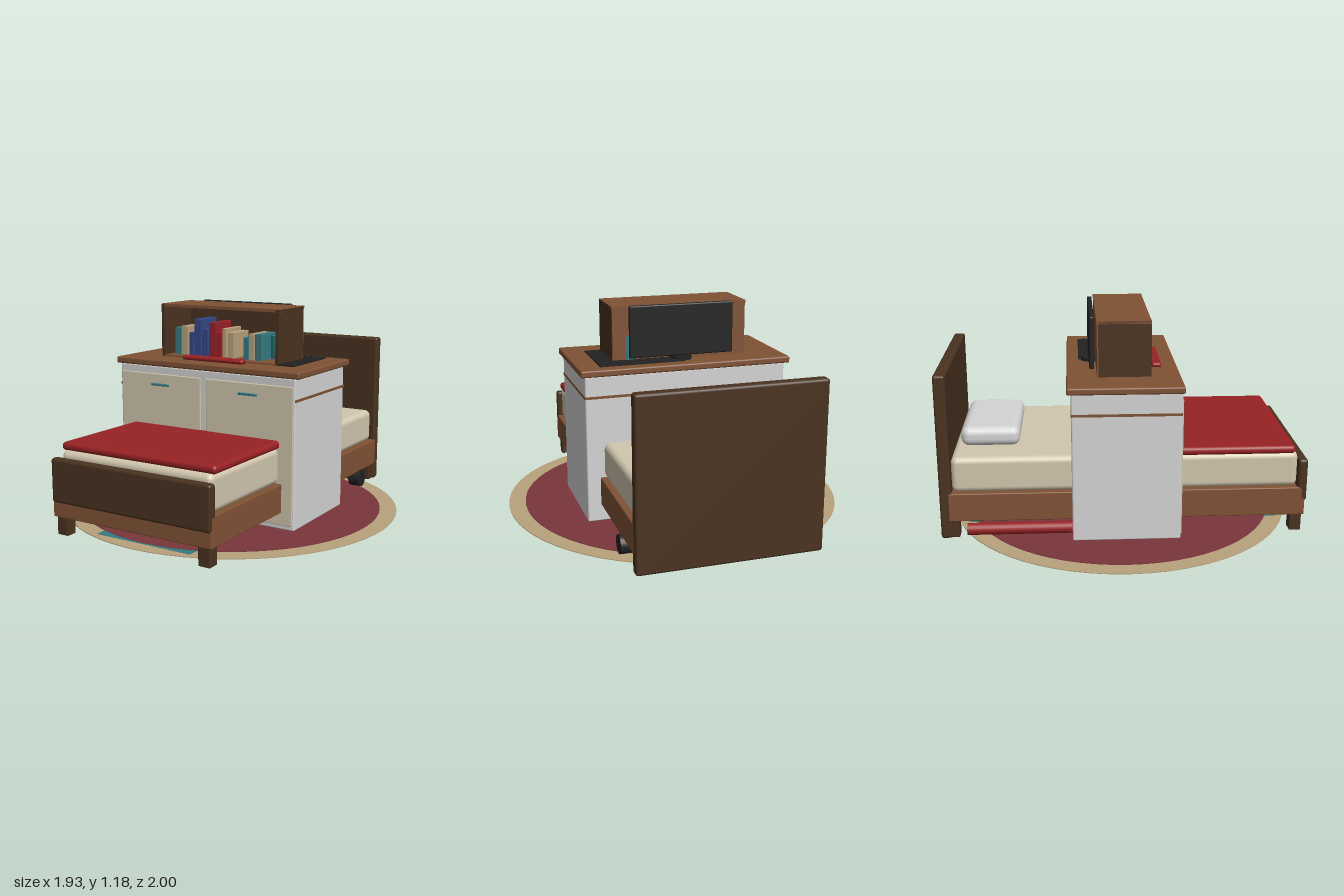
import * as THREE from 'three';
import { RoundedBoxGeometry } from 'three/addons/geometries/RoundedBoxGeometry.js';

const mat = (name, color) => {
  const m = new THREE.MeshStandardMaterial({ color });
  m.name = name;
  return m;
};

export function createModel() {
  const white = mat('white', 0xd4d4d4), cream = mat('cream', 0xd2c7af);
  const wood = mat('wood', 0x805235), dark = mat('darkWood', 0x4a3320);
  const red = mat('red', 0x982224), rugRed = mat('rugRed', 0x7a363c);
  const tan = mat('tan', 0xb9a27d), teal = mat('teal', 0x347b82);
  const blue = mat('blue', 0x34488a), black = mat('black', 0x222222);
  const root = new THREE.Group();

  const group = (name) => {
    const g = new THREE.Group();
    g.name = name;
    root.add(g);
    return g;
  };
  const add = (parent, name, geo, m, x, y, z) => {
    const mesh = new THREE.Mesh(geo, m);
    mesh.name = name;
    mesh.position.set(x, y, z);
    parent.add(mesh);
    return mesh;
  };
  // Box given by its limits, with optional rounded edges
  const box = (parent, name, m, [x0, x1], [y0, y1], [z0, z1], r = 0) => {
    const s = [x1 - x0, y1 - y0, z1 - z0];
    const geo = r ? new RoundedBoxGeometry(...s, 3, r) : new THREE.BoxGeometry(...s);
    return add(parent, name, geo, m, (x0 + x1) / 2, (y0 + y1) / 2, (z0 + z1) / 2);
  };

  // Round rug with a runner worked into it
  const rug = group('rug');
  add(rug, 'rugBorder', new THREE.CylinderGeometry(0.963, 0.963, 0.004, 64), tan, 0, 0.003, 0);
  add(rug, 'rugCentre', new THREE.CylinderGeometry(0.868, 0.868, 0.004, 64), rugRed, 0, 0.006, 0);
  box(rug, 'rugRunner', teal, [-0.3, 0.3], [0, 0.006], [-0.87, 0.88]);

  // Bed
  const bed = group('bed');
  box(bed, 'bedFrame', wood, [-0.5, 0.5], [0.1, 0.26], [-0.97, 0.99], 0.006);
  box(bed, 'headboard', dark, [-0.5, 0.5], [0, 0.92], [-1, -0.935], 0.015);
  box(bed, 'footboard', dark, [-0.5, 0.5], [0.18, 0.42], [0.948, 1], 0.015);
  for (const x of [-0.45, 0.45]) {
    box(bed, 'frontLeg', dark, [x - 0.035, x + 0.035], [0, 0.1], [0.915, 0.98], 0.005);
    box(bed, 'backLeg', dark, [x - 0.035, x + 0.035], [0, 0.1], [-0.97, -0.9], 0.005);
  }
  box(bed, 'mattress', cream, [-0.475, 0.475], [0.255, 0.455], [-0.935, 0.95], 0.035);
  box(bed, 'pillow', white, [-0.29, 0.29], [0.45, 0.56], [-0.895, -0.57], 0.045);
  box(bed, 'blanket', red, [-0.485, 0.485], [0.45, 0.495], [0.15, 0.93], 0.02);

  // Rolled mat and dumbbell under the bed
  const under = group('underBed');
  const roll = add(under, 'rolledMat', new THREE.CylinderGeometry(0.033, 0.033, 0.68, 24), red, -0.46, 0.037, -0.52);
  roll.rotation.x = Math.PI / 2;
  const disc = (name, r, len, x) => {
    add(under, name, new THREE.CylinderGeometry(r, r, len, 24), black, x, 0.056, -0.72).rotation.z = Math.PI / 2;
  };
  disc('dumbbellBar', 0.015, 0.2, 0.4);
  for (const x of [0.3, 0.48]) disc('dumbbellWeight', 0.052, 0.07, x);

  // Cabinet with two doors
  const cabinet = group('cabinet');
  box(cabinet, 'cabinetBody', white, [-0.575, 0.575], [0.004, 0.835], [-0.285, 0.3], 0.01);
  box(cabinet, 'cabinetStripe', wood, [-0.578, 0.578], [0.708, 0.722], [-0.287, 0.298]);
  for (const s of [-1, 1]) {
    const span = (a, b) => [Math.min(s * a, s * b), Math.max(s * a, s * b)];
    box(cabinet, 'door', cream, span(0.018, 0.565), [0.03, 0.79], [0.29, 0.306], 0.005);
    box(cabinet, 'doorHandle', teal, span(0.23, 0.348), [0.722, 0.735], [0.3, 0.318], 0.004);
  }
  box(cabinet, 'worktop', wood, [-0.6, 0.6], [0.832, 0.87], [-0.307, 0.31], 0.01);

  // Open bookcase on the worktop
  const shelf = group('bookcase');
  box(shelf, 'bookcaseTop', wood, [-0.388, 0.388], [1.158, 1.175], [-0.145, 0.147]);
  box(shelf, 'bookcaseBase', wood, [-0.37, 0.37], [0.868, 0.878], [-0.135, 0.147]);
  box(shelf, 'bookcaseBack', wood, [-0.386, 0.386], [0.87, 1.158], [-0.143, -0.133]);
  box(shelf, 'bookcaseLining', dark, [-0.37, 0.37], [0.87, 1.158], [-0.133, -0.122]);
  for (const s of [-1, 1]) {
    box(shelf, 'bookcaseSide', dark, [s * 0.378 - 0.01, s * 0.378 + 0.01], [0.87, 1.172], [-0.135, 0.149]);
  }

  // Books: left edge, right edge, top, colour
  const books = [
    [-0.34, -0.296, 1.035, teal], [-0.294, -0.249, 1.045, tan], [-0.239, -0.209, 1.01, blue],
    [-0.203, -0.157, 1.09, blue], [-0.152, -0.11, 1.035, blue], [-0.1, -0.055, 1.075, red],
    [-0.053, -0.018, 1.02, red], [-0.013, 0.013, 1.045, tan], [0.023, 0.064, 1.025, tan],
    [0.126, 0.162, 1.003, teal], [0.163, 0.198, 1.025, tan], [0.203, 0.245, 1.025, teal],
  ];
  for (const [x0, x1, top, m] of books) box(shelf, 'book', m, [x0, x1], [0.87, top], [-0.08, 0.085], 0.003);
  add(shelf, 'roundBin', new THREE.CylinderGeometry(0.07, 0.07, 0.14, 32), teal, 0.285, 0.94, -0.08);

  // Screen, desk mat and wrist rest
  const desk = group('deskItems');
  box(desk, 'screen', black, [-0.3, 0.298], [0.89, 1.18], [-0.182, -0.155], 0.008);
  add(desk, 'screenFoot', new THREE.CylinderGeometry(0.06, 0.06, 0.02, 24), black, 0, 0.88, -0.165);
  box(desk, 'deskMat', black, [0, 0.48], [0.868, 0.878], [-0.24, 0.145]);
  box(desk, 'wristRest', red, [-0.2, 0.2], [0.868, 0.895], [0.165, 0.22], 0.013);

  return root;
}
